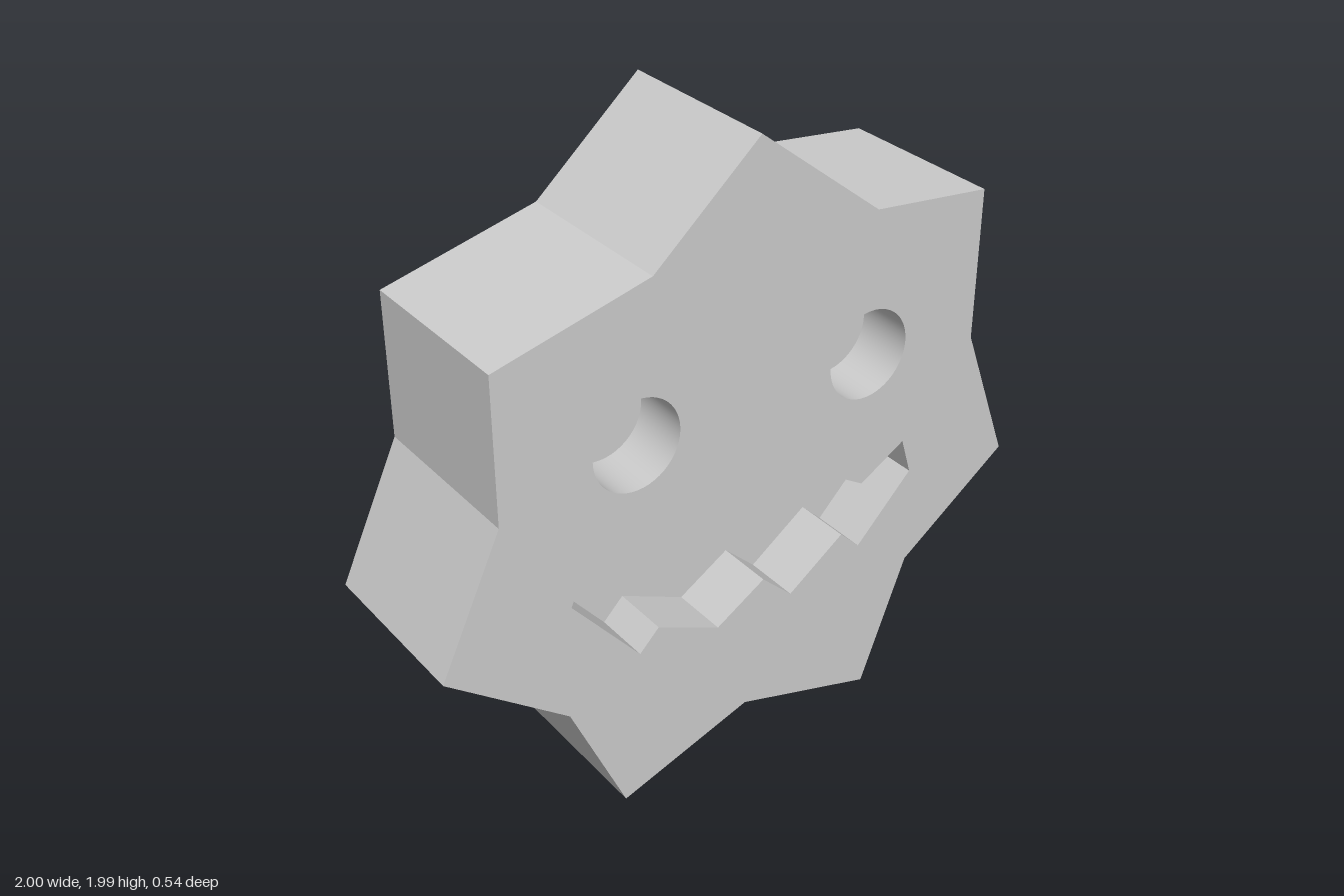
import * as THREE from 'three';
import { toCreasedNormals } from 'three/addons/utils/BufferGeometryUtils.js';

const FRONT = 0.27, BACK = -0.27, FLOOR = 0.09;

const toPoints = (list) => list.map(([x, y]) => new THREE.Vector2(x, y));

// Seven-pointed outline, counter-clockwise from the top point
const outline = toPoints([
  [0.02, 1.985], [-0.32, 1.69], [-0.805, 1.575], [-0.805, 1.125], [-1, 0.71],
  [-0.62, 0.41], [-0.44, 0], [0, 0.145], [0.47, 0], [0.625, 0.41],
  [1, 0.68], [0.83, 1.13], [0.83, 1.61], [0.43, 1.66],
]);

// Jagged mouth, clockwise from its left corner
const mouth = toPoints([
  [-0.6, 0.78], [-0.565, 0.86], [-0.44, 0.755], [-0.33, 0.86], [-0.16, 0.755],
  [-0.025, 0.86], [0.14, 0.755], [0.28, 0.86], [0.425, 0.77], [0.58, 0.86],
  [0.617, 0.74], [0.425, 0.545], [0.355, 0.615], [0.165, 0.48], [0.06, 0.58],
  [-0.105, 0.48], [-0.315, 0.58], [-0.38, 0.515],
]);

// Round eye, clockwise
function circle(cx, cy, r, n = 48) {
  return Array.from({ length: n }, (_, i) => {
    const a = (-i / n) * Math.PI * 2;
    return new THREE.Vector2(cx + r * Math.cos(a), cy + r * Math.sin(a));
  });
}

// Closed band of quads: faces outward for counter-clockwise points, inward for clockwise
function wall(points, z0, z1) {
  const pos = [];
  points.forEach((a, i) => {
    const b = points[(i + 1) % points.length];
    pos.push(a.x, a.y, z0, b.x, b.y, z0, b.x, b.y, z1);
    pos.push(a.x, a.y, z0, b.x, b.y, z1, a.x, a.y, z1);
  });
  const geo = new THREE.BufferGeometry();
  geo.setAttribute('position', new THREE.Float32BufferAttribute(pos, 3));
  return toCreasedNormals(geo, 0.3);
}

// Flat face looking toward +z
function face(points, z, holes = []) {
  const shape = new THREE.Shape(points);
  shape.holes = holes.map((h) => new THREE.Path(h));
  return new THREE.ShapeGeometry(shape).translate(0, 0, z);
}

export function createModel() {
  const group = new THREE.Group();
  const material = new THREE.MeshStandardMaterial({ color: 0xcccccc });
  const add = (name, geo) => {
    const mesh = new THREE.Mesh(geo, material);
    mesh.name = name;
    group.add(mesh);
  };

  const recesses = {
    rightEye: circle(-0.377, 1.21, 0.14),
    leftEye: circle(0.423, 1.21, 0.14),
    mouth,
  };

  // Star body
  add('bodyFront', face(outline, FRONT, Object.values(recesses)));
  add('bodySides', wall(outline, BACK, FRONT));
  const mirrored = outline.map((p) => new THREE.Vector2(-p.x, p.y));
  add('bodyBack', face(mirrored, -BACK).rotateY(Math.PI));

  // Sunken eyes and mouth
  for (const [name, points] of Object.entries(recesses)) {
    add(name + 'Wall', wall(points, FLOOR, FRONT));
    add(name + 'Floor', face(points, FLOOR));
  }
  return group;
}
